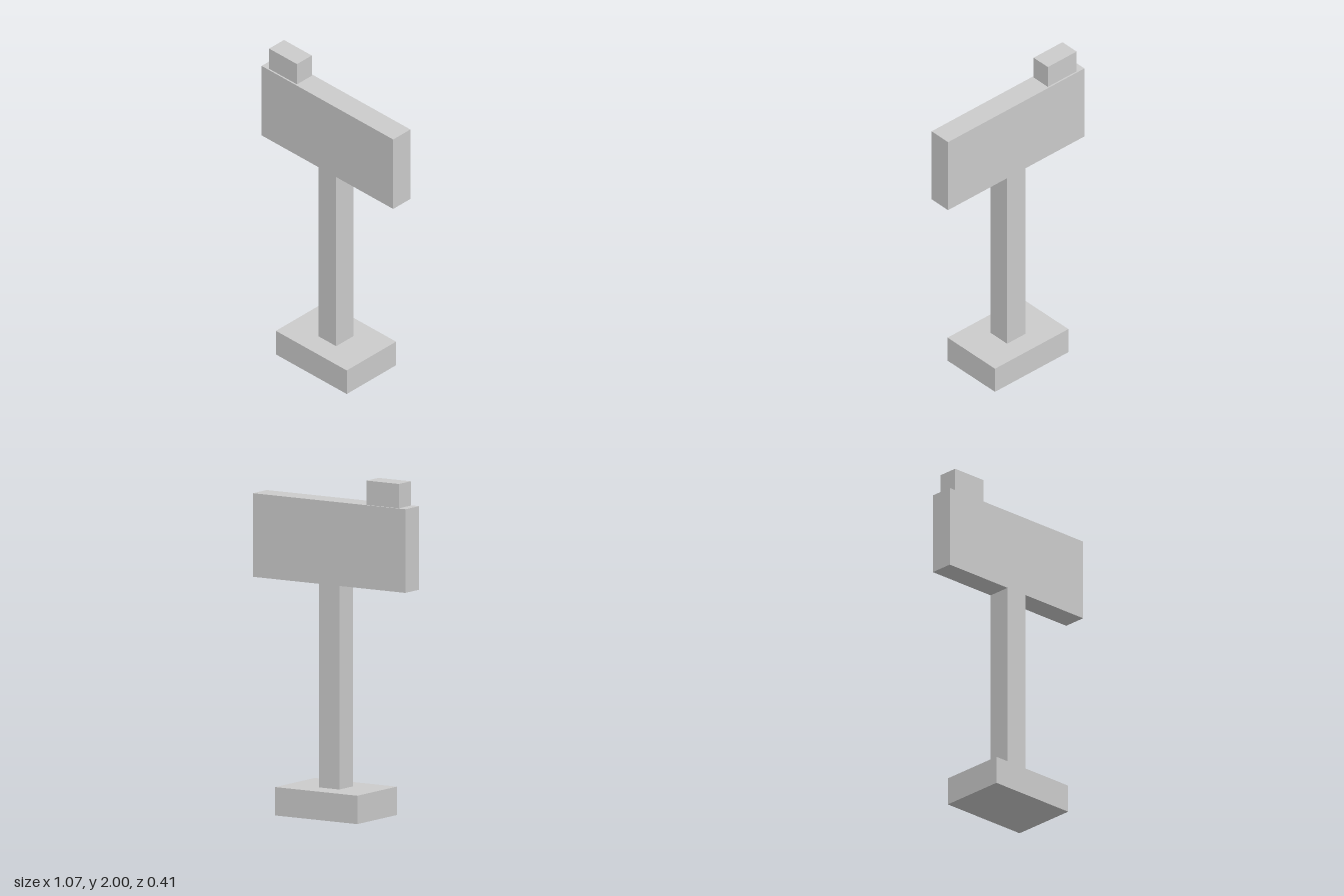
import * as THREE from 'three';

export function createModel() {
  const group = new THREE.Group();
  const material = new THREE.MeshStandardMaterial({ color: 0xcccccc, flatShading: true });

  // Adds a box standing on height y0 and reaching y1
  function block(name, width, depth, y0, y1, x = 0) {
    const mesh = new THREE.Mesh(new THREE.BoxGeometry(width, y1 - y0, depth), material);
    mesh.name = name;
    mesh.position.set(x, (y0 + y1) / 2, 0);
    group.add(mesh);
  }

  block('base', 0.576, 0.41, 0, 0.167);
  block('post', 0.143, 0.143, 0.167, 1.365);
  // Sign panel, flush with the post front and back
  block('signPanel', 1.07, 0.143, 1.365, 1.857);
  // Small block on the right end of the panel
  block('topBlock', 0.226, 0.123, 1.857, 2, -0.37);

  return group;
}
